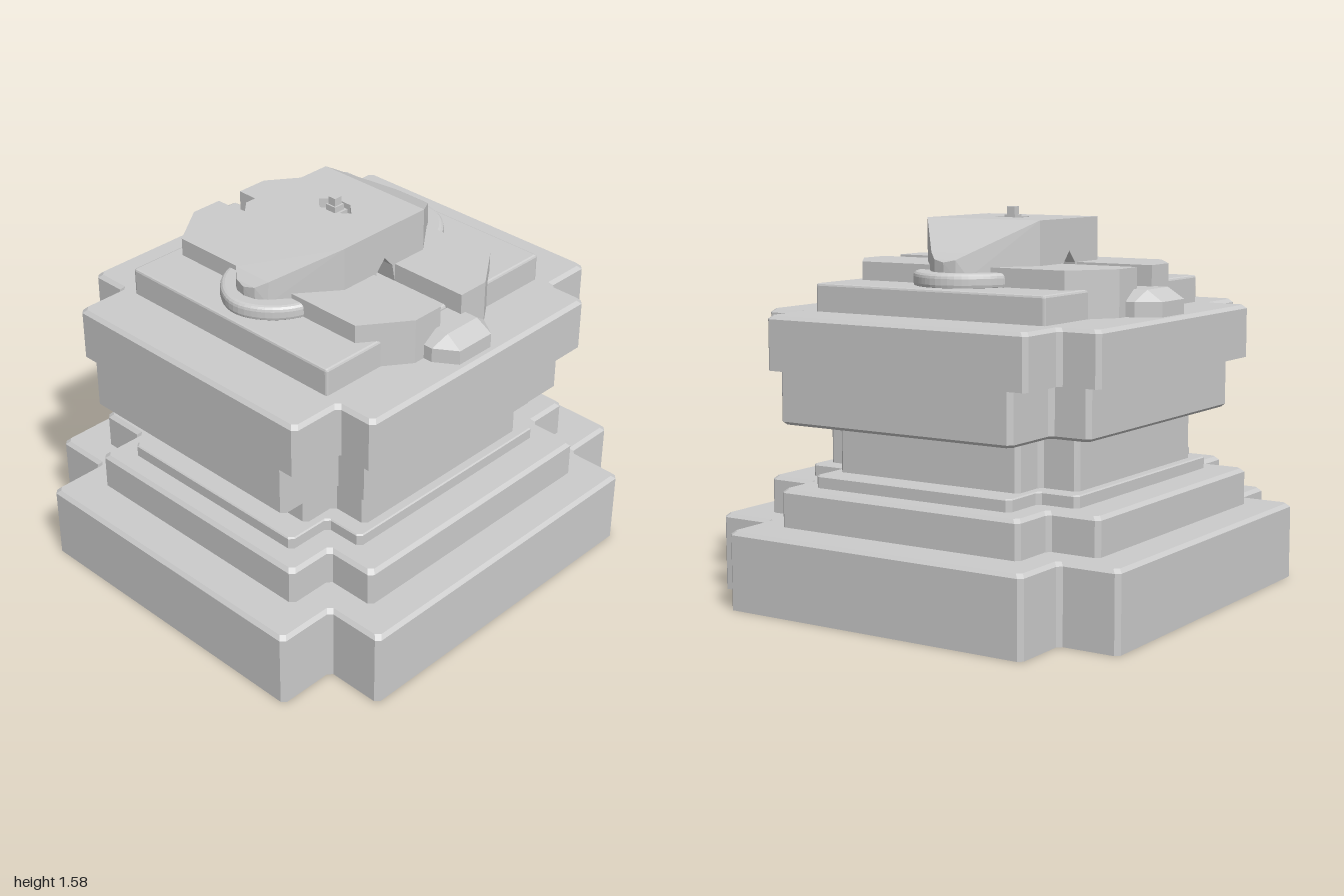
import * as THREE from 'three';
import { RoundedBoxGeometry } from 'three/addons/geometries/RoundedBoxGeometry.js';
import { ConvexGeometry } from 'three/addons/geometries/ConvexGeometry.js';

const stone = new THREE.MeshStandardMaterial({ color: 0xcccccc, flatShading: true });
const shellStone = new THREE.MeshStandardMaterial({ color: 0xcccccc, flatShading: true, side: THREE.DoubleSide });
const V = (x, y, z) => new THREE.Vector3(x, y, z);

function add(parent, name, geometry, material = stone) {
  const mesh = new THREE.Mesh(geometry, material);
  mesh.name = name;
  parent.add(mesh);
  return mesh;
}

// Cross-shaped outline with every corner cut: outer half sizes hx, hz; notch corner at ix, iz
function crossRing(y, hx, hz, ix, iz, cut = 0.018) {
  const quarter = [[hx, iz], [ix, iz], [ix, hz]];
  const flip = (sx, sz) => quarter.map(([x, z]) => [x * sx, z * sz]);
  const corners = [...flip(1, 1), ...flip(-1, 1).reverse(), ...flip(-1, -1), ...flip(1, -1).reverse()];
  const ring = [];
  corners.forEach((c, i) => {
    const p = V(c[0], y, c[1]);
    for (const j of [(i + 11) % 12, (i + 1) % 12]) {
      const q = V(corners[j][0], y, corners[j][1]);
      ring.push(p.clone().add(q.sub(p).setLength(cut)));
    }
  });
  return ring;
}

// Skin between consecutive rings, closed at the top
function loft(rings) {
  const n = rings[0].length, pos = [], index = [];
  rings.forEach(r => r.forEach(p => pos.push(p.x, p.y, p.z)));
  for (let k = 0; k < rings.length - 1; k++) {
    for (let i = 0; i < n; i++) {
      const a = k * n + i, b = k * n + (i + 1) % n;
      index.push(a, a + n, b, b, a + n, b + n);
    }
  }
  const last = (rings.length - 1) * n;
  pos.push(0, rings.at(-1)[0].y, 0);
  for (let i = 0; i < n; i++) index.push(last + i, rings.length * n, last + (i + 1) % n);
  const g = new THREE.BufferGeometry();
  g.setAttribute('position', new THREE.Float32BufferAttribute(pos, 3));
  g.setIndex(index);
  g.computeVertexNormals();
  return g;
}

const polygon = pts => new THREE.Shape(pts.map(p => new THREE.Vector2(...p)));

// Plan outline raised from y0 to y1
function raise(shape, y0, y1, bevel = 0) {
  return new THREE.ExtrudeGeometry(shape, {
    depth: y1 - y0 - 2 * bevel, bevelEnabled: bevel > 0, bevelSize: bevel,
    bevelThickness: bevel, bevelSegments: 3, curveSegments: 12,
  }).rotateX(-Math.PI / 2).translate(0, y0 + bevel, 0);
}

export function createModel() {
  const model = new THREE.Group();
  model.name = 'steppedPedestal';

  // Hollow stepped body: bottom, top, hx, hz, ix, iz, lower bevel, upper bevel
  const tiers = [
    [0, 0.32, 1, 0.945, 0.745, 0.69, 0, 0.015],
    [0.32, 0.475, 0.825, 0.787, 0.62, 0.565, 0, 0.015],
    [0.475, 0.525, 0.73, 0.64, 0.53, 0.465, 0, 0.005],
    [0.525, 0.74, 0.615, 0.6, 0.46, 0.43, 0, 0],
    [0.74, 0.95, 0.845, 0.715, 0.57, 0.545, 0.012, 0],
    [0.95, 1.17, 0.845, 0.785, 0.62, 0.61, 0, 0.015],
  ];
  const rings = [];
  for (const [y0, y1, hx, hz, ix, iz, lo, hi] of tiers) {
    const ring = (y, d) => rings.push(crossRing(y, hx - d, hz - d, ix - d, iz - d));
    if (lo) ring(y0, lo);
    ring(y0 + lo, 0);
    ring(y1 - hi, 0);
    if (hi) ring(y1, hi);
  }
  add(model, 'steppedBody', loft(rings), shellStone);

  // Crown parts sit slightly off the centre line
  add(model, 'crownBlock', new RoundedBoxGeometry(1.22, 0.16, 1.085, 1, 0.01).translate(0, 1.204, 0));
  const crown = new THREE.Group();
  crown.name = 'crown';
  crown.position.x = -0.012;
  model.add(crown);

  for (const side of [1, -1]) {
    const half = new THREE.Group();
    half.name = side > 0 ? 'leftFrontHalf' : 'rightBackHalf';
    half.rotation.y = side > 0 ? 0 : Math.PI;
    crown.add(half);

    // Long slab with clipped outer corners
    add(half, 'slab', raise(polygon([[0.06, -0.62], [0.2, -0.62], [0.388, -0.485],
      [0.388, 0.485], [0.2, 0.62], [0.06, 0.62]]), 1.17, 1.36));

    // Rounded lip beneath the cap's nose
    const lip = new THREE.Shape();
    lip.moveTo(0.34, -0.2);
    lip.bezierCurveTo(0.44, -0.2, 0.54, -0.09, 0.54, 0);
    lip.bezierCurveTo(0.54, 0.09, 0.44, 0.2, 0.34, 0.2);
    add(half, 'lip', raise(lip, 1.275, 1.34, 0.02));

    // Sloping nose of the cap
    const nose = [V(0.503, 1.38, 0), V(0.5, 1.32, 0)];
    // Bevelled end block between the slabs
    const end = [];
    for (const s of [1, -1]) {
      nose.push(V(0.225, 1.3, s * 0.272), V(0.225, 1.54, s * 0.272), V(0.455, 1.415, s * 0.09),
        V(0.46, 1.32, s * 0.09), V(0.492, 1.39, s * 0.05), V(0.49, 1.32, s * 0.05));
      end.push(V(s * 0.085, 1.275, 0.55), V(s * 0.085, 1.275, 0.68));
      for (const y of [1.165, 1.23]) {
        end.push(V(s * 0.15, y, 0.55), V(s * 0.15, y, 0.66), V(s * 0.09, y, 0.75));
      }
    }
    add(half, 'capNose', new ConvexGeometry(nose));
    add(half, 'endBlock', new ConvexGeometry(end));
  }

  // Middle of the cap, with a pointed passage running front to back
  const arch = polygon([[-0.225, 1.28], [-0.06, 1.28], [-0.045, 1.36], [0, 1.41], [0.045, 1.36],
    [0.06, 1.28], [0.225, 1.28], [0.225, 1.5], [-0.225, 1.5]]);
  add(crown, 'capMiddle', new THREE.ExtrudeGeometry(arch, { depth: 0.544, bevelEnabled: false }).translate(0, 0, -0.272));

  // Cap top with a pointed recess around the pin
  const top = polygon([[-0.225, -0.272], [0.225, -0.272], [0.225, 0.272], [-0.225, 0.272]]);
  top.holes.push(polygon([[0, -0.09], [-0.047, -0.04], [-0.047, 0.04], [0, 0.09], [0.047, 0.04], [0.047, -0.04]]));
  add(crown, 'capTop', raise(top, 1.5, 1.54));

  // Stepped pin
  [[0.07, 1.5, 1.525], [0.05, 1.52, 1.55], [0.036, 1.54, 1.583]].forEach(([w, y0, y1]) => {
    add(crown, 'pin', new THREE.BoxGeometry(w, y1 - y0, w).translate(0, (y0 + y1) / 2, 0));
  });

  return model;
}
